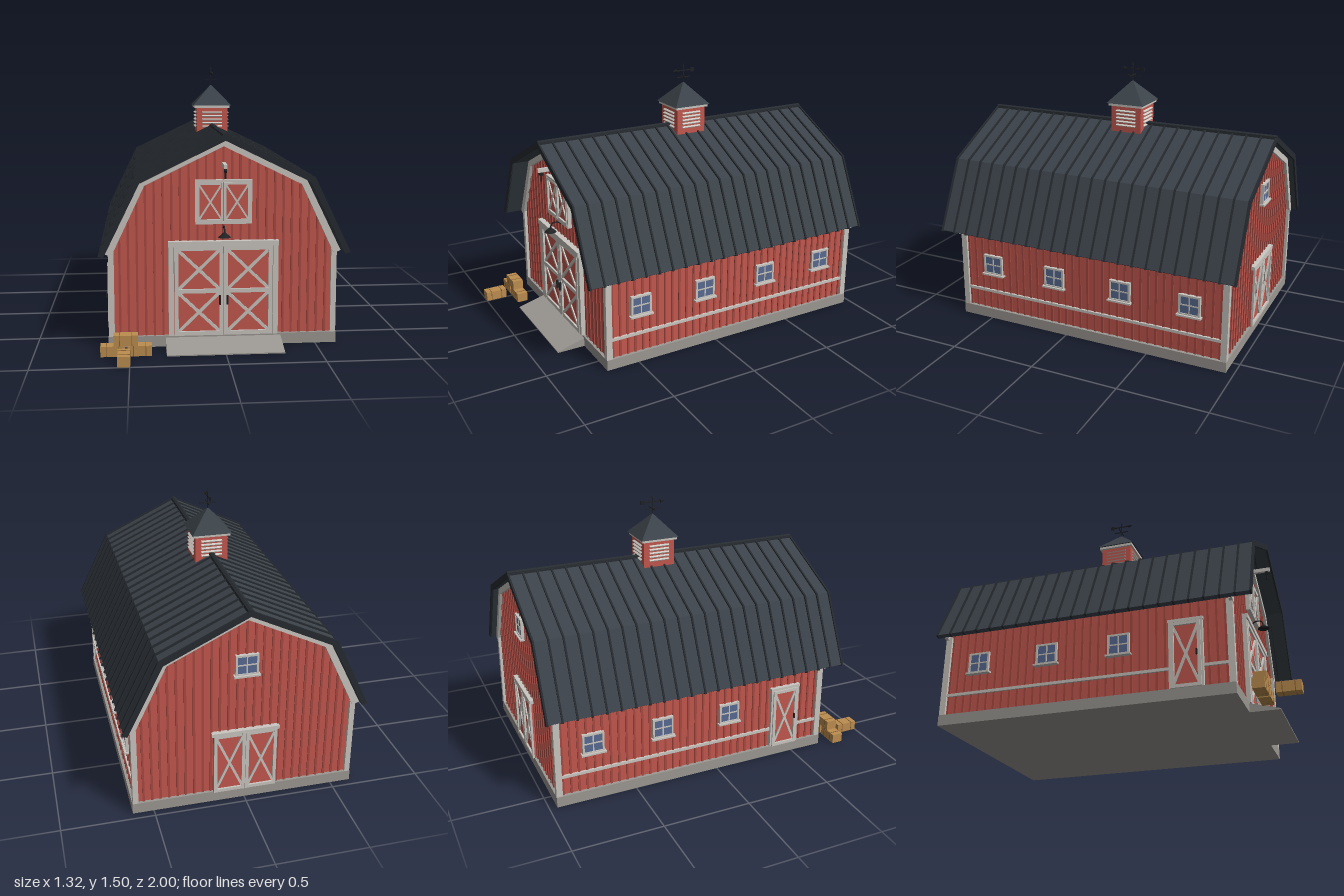
import * as THREE from 'three';

const mat = (name, color) => Object.assign(new THREE.MeshStandardMaterial({ color }), { name });

export function createModel() {
  const red = mat('barn red', 0xc4584f), darkRed = mat('batten red', 0xa94a42);
  const white = mat('trim white', 0xcbc7c1), slate = mat('roof slate', 0x3b4249);
  const seam = mat('seam slate', 0x262b30), stone = mat('concrete', 0x9c9893);
  const glass = mat('window glass', 0x586a92), iron = mat('black iron', 0x1f2123);
  const straw = mat('straw', 0xbd8e50), twine = mat('twine', 0x8a6434);

  const model = new THREE.Group();
  model.name = 'barn';
  const FRONT = 0.675, BACK = -0.94, SIDE = 0.595, MID = (FRONT + BACK) / 2;

  const add = (parent, name, geo, m, x = 0, y = 0, z = 0) => {
    const mesh = new THREE.Mesh(geo, m);
    mesh.name = name;
    mesh.position.set(x, y, z);
    parent.add(mesh);
    return mesh;
  };
  const box = (parent, name, m, w, h, d, x, y, z) =>
    add(parent, name, new THREE.BoxGeometry(w, h, d), m, x, y, z);
  const group = (name, x = 0, y = 0, z = 0, ry = 0, parent = model) => {
    const g = new THREE.Group();
    g.name = name;
    g.position.set(x, y, z);
    g.rotation.y = ry;
    parent.add(g);
    return g;
  };
  // Flat board between two points of a panel
  const bar = (parent, name, m, x1, y1, x2, y2, w, z = 0.012, d = 0.012) => {
    const b = box(parent, name, m, Math.hypot(x2 - x1, y2 - y1), w, d, (x1 + x2) / 2, (y1 + y2) / 2, z);
    b.rotation.z = Math.atan2(y2 - y1, x2 - x1);
    return b;
  };
  const extrude = (pts, depth) => new THREE.ExtrudeGeometry(
    new THREE.Shape(pts.map(p => new THREE.Vector2(p[0], p[1]))), { depth, bevelEnabled: false });
  // Half profile from eave to ridge, mirrored
  const mirror = half => [...half, ...half.slice(0, -1).reverse().map(([x, y]) => [-x, y])];
  // Gambrel band between an outer and an inner half profile
  const band = (outer, inner, depth) => extrude([...mirror(outer), ...mirror(inner).reverse()], depth);

  // Foundation and ramp
  box(model, 'foundation', stone, 1.23, 0.06, 1.65, 0, 0.03, MID);
  const ramp = add(model, 'ramp', extrude([[0, 0], [0.165, 0], [0.165, 0.006], [0, 0.05]], 0.62), stone, 0.31, 0, 0.69);
  ramp.rotation.y = -Math.PI / 2;

  // Walls
  const wallTop = [[SIDE, 0.585], [0.44, 0.895], [0, 1.11]];
  add(model, 'walls', extrude(mirror([[SIDE, 0.06], ...wallTop]), FRONT - BACK), red, 0, 0, BACK);
  const topAt = x => {
    const a = Math.abs(x);
    return a < 0.44 ? 1.11 - a * 0.215 / 0.44 : 0.895 - (a - 0.44) * 2;
  };
  for (let i = -12; i <= 12; i++) {
    const x = i * 0.046, h = topAt(x) - 0.07;
    for (const z of [FRONT, BACK]) box(model, 'gableBatten', darkRed, 0.012, h, 0.012, x, 0.06 + h / 2, z);
  }
  for (let i = -17; i <= 17; i++)
    for (const s of [-1, 1]) box(model, 'sideBatten', darkRed, 0.012, 0.51, 0.012, s * SIDE, 0.315, MID + i * 0.046);

  // Corner boards, side rails and rake trim
  for (const s of [-1, 1]) {
    for (const z of [FRONT, BACK]) box(model, 'cornerBoard', white, 0.03, 0.46, 0.035, s * 0.597, 0.29, z);
    box(model, 'sideRail', white, 0.02, 0.016, FRONT - BACK, s * 0.598, 0.172, MID);
  }
  for (const z of [FRONT, BACK - 0.02])
    add(model, 'rakeTrim', band([[0.632, 0.512], [0.444, 0.897], [0, 1.118]],
      [[0.595, 0.497], [0.417, 0.872], [0, 1.076]], 0.02), white, 0, 0, z);

  // Roof with standing seams and ridge cap
  const under = [[0.632, 0.514], [0.443, 0.897], [0, 1.113]];
  add(model, 'roof', band([[0.652, 0.526], [0.461, 0.915], [0, 1.138]], under, 1.79), slate, 0, 0, -0.995);
  const seamGeo = band([[0.661, 0.523], [0.468, 0.922], [0, 1.147]], under, 0.01);
  for (let i = 0; i <= 22; i++) add(model, 'roofSeam', seamGeo, seam, 0, 0, -1 + i * 1.79 / 22);
  add(model, 'ridgeCap', extrude(mirror([[0.016, 1.128], [0.014, 1.146], [0, 1.152]]), 1.8), seam, 0, 0, -1);

  // Braced door leaf: rows of crossed boards inside a frame, origin at bottom centre
  const leaf = (parent, w, h, rows, x, y = 0, t = 0.02) => {
    const g = group('doorLeaf', x, y, 0, 0, parent);
    box(g, 'doorPanel', red, w, h, 0.02, 0, h / 2, 0);
    const a = w / 2 - t / 2, step = (h - t) / rows;
    for (const s of [-1, 1]) bar(g, 'stile', white, s * a, 0, s * a, h, t, 0.016);
    for (let r = 0; r <= rows; r++) bar(g, 'doorRail', white, -a, t / 2 + r * step, a, t / 2 + r * step, t, 0.015);
    for (let r = 0; r < rows; r++) {
      const y0 = t / 2 + r * step;
      bar(g, 'brace', white, -a, y0, a, y0 + step, t * 0.75, 0.012);
      bar(g, 'brace', white, -a, y0 + step, a, y0, t * 0.75, 0.011);
    }
    return g;
  };

  // Front doors
  const door = group('frontDoors', 0, 0.06, FRONT + 0.006);
  for (const s of [-1, 1]) {
    leaf(door, 0.262, 0.485, 2, s * 0.132, 0, 0.022);
    box(door, 'doorPost', white, 0.028, 0.49, 0.03, s * 0.28, 0.245, 0.005);
    box(door, 'doorHandle', iron, 0.008, 0.05, 0.014, s * 0.02, 0.195, 0.028);
  }
  box(door, 'doorHeader', white, 0.59, 0.028, 0.04, 0, 0.5, 0.008);

  // Loft doors
  const loft = group('loftDoors', 0, 0.665, FRONT + 0.006);
  for (const s of [-1, 1]) {
    leaf(loft, 0.14, 0.21, 1, s * 0.071, 0.012, 0.013);
    box(loft, 'loftPost', white, 0.012, 0.235, 0.026, s * 0.145, 0.1175, 0.004);
  }
  for (const y of [0.006, 0.229]) box(loft, 'loftTrim', white, 0.302, 0.013, 0.03, 0, y, 0.005);

  // Back doors and side door
  const back = group('backDoors', 0, 0.06, BACK - 0.006, Math.PI);
  for (const s of [-1, 1]) leaf(back, 0.172, 0.36, 1, s * 0.087, 0, 0.018);
  box(back, 'doorHeader', white, 0.37, 0.02, 0.03, 0, 0.365, 0.006);
  const sideDoor = group('sideDoor', -SIDE - 0.006, 0.06, 0.44, -Math.PI / 2);
  leaf(sideDoor, 0.16, 0.36, 1, 0, 0, 0.018);
  for (const s of [-1, 1]) box(sideDoor, 'doorPost', white, 0.014, 0.37, 0.024, s * 0.084, 0.185, 0.003);
  box(sideDoor, 'doorHeader', white, 0.19, 0.016, 0.028, 0, 0.37, 0.004);
  box(sideDoor, 'doorHandle', iron, 0.008, 0.03, 0.012, 0.06, 0.18, 0.026);

  // Four-pane windows
  const window = (x, y, z, ry) => {
    const g = group('window', x, y, z, ry);
    box(g, 'glass', glass, 0.11, 0.105, 0.018, 0, 0, 0);
    for (const s of [-1, 1]) {
      box(g, 'windowJamb', white, 0.011, 0.12, 0.026, s * 0.056, 0, 0.002);
      box(g, 'windowRail', white, 0.122, 0.011, 0.026, 0, s * 0.054, 0.002);
    }
    box(g, 'mullion', white, 0.007, 0.11, 0.022, 0, 0, 0.001);
    box(g, 'muntin', white, 0.115, 0.007, 0.022, 0, 0, 0.001);
    box(g, 'sill', white, 0.14, 0.01, 0.04, 0, -0.06, 0.006);
  };
  for (const z of [0.48, 0.075, -0.335, -0.74]) {
    window(SIDE + 0.004, 0.342, z, Math.PI / 2);
    if (z < 0.4) window(-SIDE - 0.004, 0.342, z, -Math.PI / 2);
  }
  window(0, 0.82, BACK - 0.004, Math.PI);

  // Hay hoist
  const hoist = group('hoist', 0, 0.98, FRONT);
  box(hoist, 'hoistBeam', white, 0.018, 0.022, 0.13, 0, 0, 0.065);
  const pulley = add(hoist, 'pulley', new THREE.CylinderGeometry(0.012, 0.012, 0.012, 12), iron, 0, -0.022, 0.11);
  pulley.rotation.z = Math.PI / 2;
  add(hoist, 'hook', new THREE.CylinderGeometry(0.005, 0.005, 0.04, 8), iron, 0, -0.045, 0.11);

  // Gooseneck lamp
  const lamp = group('doorLamp', 0, 0.6, FRONT);
  const neck = new THREE.CatmullRomCurve3([[0.04, 0], [0.055, 0.03], [0.05, 0.06], [0.025, 0.07]]
    .map(([y, z]) => new THREE.Vector3(0, y, z)));
  add(lamp, 'lampNeck', new THREE.TubeGeometry(neck, 12, 0.004, 6), iron);
  add(lamp, 'lampShade', new THREE.CylinderGeometry(0.008, 0.034, 0.024, 16), iron, 0, 0.014, 0.07);

  // Cupola with louvres and pyramid roof
  const cupola = group('cupola', 0, 0, MID);
  box(cupola, 'cupolaBody', red, 0.186, 0.17, 0.186, 0, 1.165, 0);
  box(cupola, 'cupolaCornice', white, 0.212, 0.016, 0.212, 0, 1.253, 0);
  for (let k = 0; k < 4; k++) {
    const face = group('louvres', 0, 0, 0, k * Math.PI / 2, cupola);
    for (let i = 0; i < 5; i++) {
      const slat = box(face, 'louvreSlat', white, 0.12, 0.006, 0.018, 0, 1.135 + i * 0.021, 0.095);
      slat.rotation.x = 0.5;
    }
  }
  const cap = add(cupola, 'cupolaRoof', new THREE.ConeGeometry(0.115 * Math.SQRT2, 0.125, 4).toNonIndexed(), slate, 0, 1.3225, 0);
  cap.geometry.computeVertexNormals();
  cap.geometry.rotateY(Math.PI / 4);

  // Weather vane
  const vane = group('weatherVane', 0, 0, 0, 0, cupola);
  add(vane, 'vanePole', new THREE.CylinderGeometry(0.003, 0.003, 0.11, 6), iron, 0, 1.425, 0);
  add(vane, 'vaneTip', new THREE.ConeGeometry(0.006, 0.02, 6), iron, 0, 1.485, 0);
  box(vane, 'vaneArm', iron, 0.09, 0.005, 0.005, 0, 1.413, 0);
  box(vane, 'vaneArm', iron, 0.005, 0.005, 0.09, 0, 1.413, 0);
  box(vane, 'vaneArrow', iron, 0.005, 0.006, 0.12, 0, 1.452, 0);
  const tip = add(vane, 'arrowHead', new THREE.ConeGeometry(0.011, 0.025, 6), iron, 0, 1.452, 0.062);
  tip.rotation.x = Math.PI / 2;
  box(vane, 'arrowTail', iron, 0.004, 0.024, 0.022, 0, 1.452, -0.06);

  // Hay bales
  const bale = (x, y, z, ry) => {
    const g = group('hayBale', x, y, z, ry);
    box(g, 'bale', straw, 0.126, 0.055, 0.064, 0, 0.0275, 0);
    for (const s of [-1, 1]) box(g, 'baleTwine', twine, 0.004, 0.057, 0.066, s * 0.032, 0.0285, 0);
  };
  bale(-0.59, 0, 0.805, 0);
  bale(-0.45, 0, 0.805, 0);
  bale(-0.522, 0.056, 0.805, 0);
  bale(-0.53, 0, 0.936, Math.PI / 2);

  return model;
}
